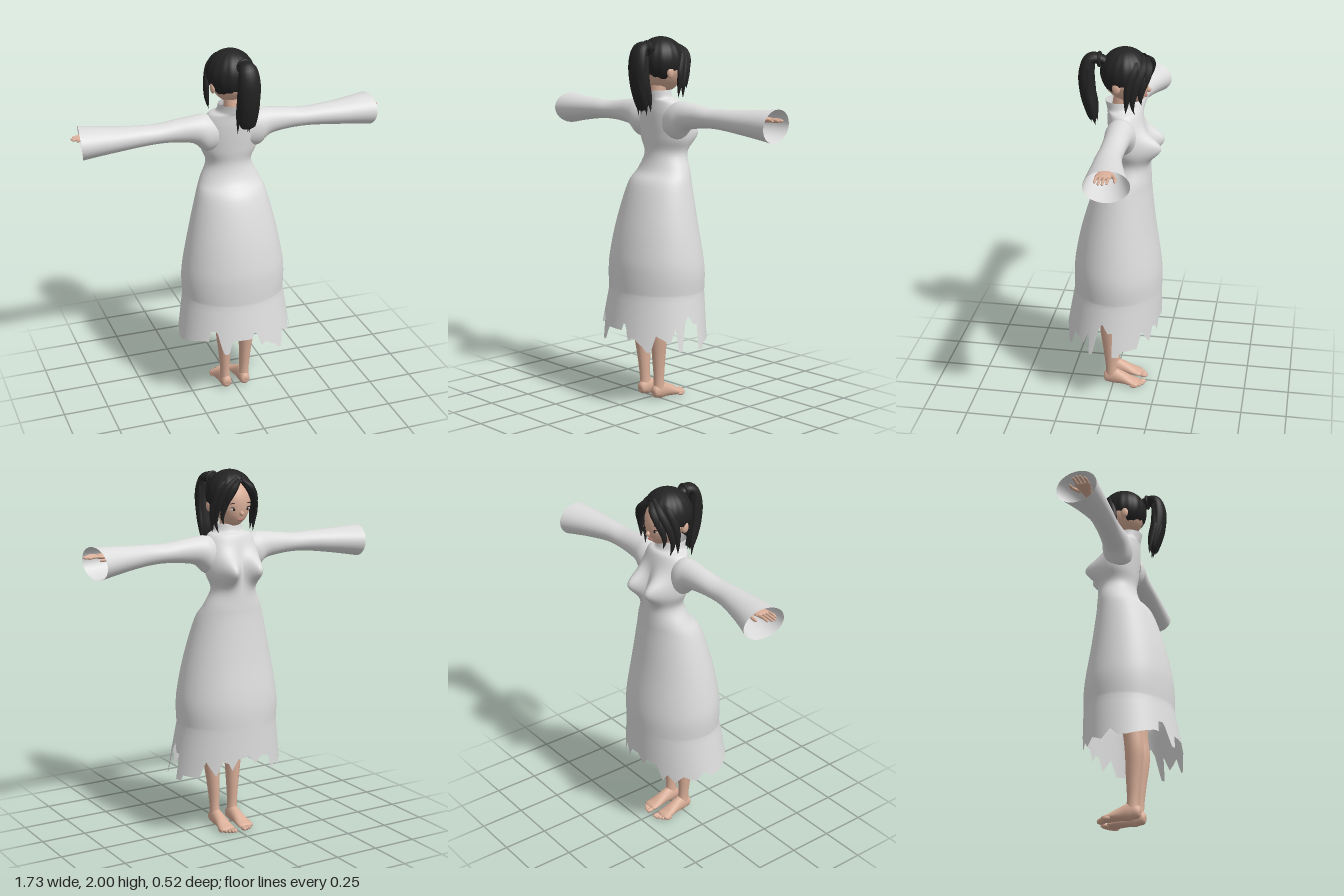
import * as THREE from 'three';

const mat = (name, color, side = THREE.FrontSide) =>
  Object.assign(new THREE.MeshStandardMaterial({ color, side }), { name });

// Smooth row of a key table at t in 0..1
function sample(keys, t) {
  const f = Math.min(Math.max(t, 0), 1) * (keys.length - 1);
  const i = Math.min(Math.floor(f), keys.length - 2), k = f - i;
  const at = n => keys[Math.min(Math.max(n, 0), keys.length - 1)];
  return at(i).map((p1, c) => {
    const p0 = at(i - 1)[c], p2 = at(i + 1)[c], p3 = at(i + 2)[c];
    return p1 + 0.5 * k * (p2 - p0 + k * (2 * p0 - 5 * p1 + 4 * p2 - p3 + k * (3 * (p1 - p2) + p3 - p0)));
  });
}

// Straight-line lookup in a list of [x, y]
function lookup(list, x) {
  const i = Math.max(1, list.findIndex(p => p[0] >= x));
  const [a, b] = [list[i - 1], list[i]];
  return a[1] + (b[1] - a[1]) * (x - a[0]) / (b[0] - a[0]);
}

// Closed tube-like surface from fn(angle, v)
function loft(nu, nv, fn) {
  const pos = [], idx = [];
  for (let j = 0; j <= nv; j++)
    for (let i = 0; i < nu; i++) pos.push(...fn(i / nu * Math.PI * 2, j / nv));
  for (let j = 0; j < nv; j++)
    for (let i = 0; i < nu; i++) {
      const a = j * nu + i, b = j * nu + (i + 1) % nu;
      idx.push(a, b, b + nu, a, b + nu, a + nu);
    }
  const g = new THREE.BufferGeometry();
  g.setAttribute('position', new THREE.Float32BufferAttribute(pos, 3));
  g.setIndex(idx);
  g.computeVertexNormals();
  return g;
}

// Tapered limb or lock; keys are [x, y, z, radiusA, radiusB]
function limb(keys, ref = [0, 0, 1], nu = 14, nv = 24) {
  const r = new THREE.Vector3(...ref);
  const point = t => new THREE.Vector3(...sample(keys, t).slice(0, 3));
  return loft(nu, nv, (u, v) => {
    const [, , , ra, rb] = sample(keys, v);
    const T = point(v + 0.01).sub(point(v - 0.01)).normalize();
    const A = r.clone().cross(T).normalize(), B = T.clone().cross(A);
    return point(v).addScaledVector(A, Math.cos(u) * Math.max(ra, 0))
      .addScaledVector(B, Math.sin(u) * Math.max(rb, 0)).toArray();
  });
}

export function createModel() {
  const cloth = mat('pale cloth', 0xdcdcdc, THREE.DoubleSide);
  const skin = mat('skin', 0xd9ae98);
  const hair = mat('black hair', 0x232323, THREE.DoubleSide);
  const dark = mat('eye dark', 0x2c211e);
  const white = mat('eye white', 0xd8d2cc);
  const lip = mat('lips', 0xb5776a);
  const model = new THREE.Group();
  const add = (name, geo, material) => {
    const m = new THREE.Mesh(geo, material);
    m.name = name;
    model.add(m);
    return m;
  };
  const ball = (name, m, p, s) => {
    const b = add(name, new THREE.SphereGeometry(1, 16, 10), m);
    b.position.set(...p);
    b.scale.set(...s);
    return b;
  };

  // Dress: rings [y, half width, back z, front z] with a torn hem [degrees, y]
  const rings = [[0.62, 0.285, 0.22, -0.265], [0.72, 0.29, 0.22, -0.265], [0.82, 0.28, 0.212, -0.255],
    [1.0, 0.245, 0.175, -0.228], [1.2, 0.195, 0.11, -0.205], [1.28, 0.163, 0.045, -0.2],
    [1.37, 0.125, 0.015, -0.195], [1.45, 0.153, 0.022, -0.185], [1.53, 0.16, 0.03, -0.17],
    [1.6, 0.15, 0.035, -0.155], [1.655, 0.125, 0.035, -0.135], [1.675, 0.085, 0.04, -0.11],
    [1.715, 0.075, 0.05, -0.1]];
  const hem = [[0, 0.43], [4, 0.43], [6, 0.47], [9, 0.46], [13, 0.38], [19, 0.4], [30, 0.36], [35, 0.33],
    [39, 0.33], [44, 0.42], [52, 0.4], [60, 0.38], [66, 0.46], [70, 0.33], [74, 0.34], [78, 0.48],
    [82, 0.52], [90, 0.47], [97, 0.47], [98, 0.33], [106, 0.33], [107, 0.36], [128, 0.36], [134, 0.45],
    [146, 0.37], [152, 0.45], [158, 0.44], [162, 0.4], [168, 0.46], [180, 0.47], [188, 0.42], [194, 0.46],
    [206, 0.45], [212, 0.36], [218, 0.4], [226, 0.36], [236, 0.4], [250, 0.37], [262, 0.42], [270, 0.38],
    [280, 0.38], [312, 0.42], [318, 0.42], [320, 0.48], [327, 0.48], [331, 0.41], [335, 0.35],
    [340, 0.36], [343, 0.43], [360, 0.43]];
  add('dress', loft(180, 66, (u, v) => {
    const t = v * 66;
    let [y, w, zb, zf] = sample(rings, (t - 6) / 60);
    if (t < 6) {
      const low = lookup(hem, u * 180 / Math.PI);
      y = low + (0.62 - low) * t / 6;
      w += (0.62 - y) * 0.15;
      zb += (0.62 - y) * 0.18;
    }
    const x = w * Math.sin(u);
    let z = (zb + zf) / 2 + (zb - zf) / 2 * Math.cos(u);
    // Bust
    const front = Math.max(0, -Math.cos(u));
    z -= 0.1 * Math.sqrt(front) * Math.exp(-(((Math.abs(x) - 0.083) / 0.055) ** 2) - ((y - 1.48) / 0.07) ** 2);
    return [x, y, z];
  }), cloth);

  // Sleeves: rings [x, top y, bottom y, back z, front z]
  const sleeve = [[0.09, 1.64, 1.46, 0.02, -0.12], [0.15, 1.658, 1.455, 0.028, -0.135],
    [0.21, 1.655, 1.505, 0.02, -0.125], [0.3, 1.645, 1.523, 0.012, -0.118], [0.4, 1.633, 1.53, 0.012, -0.115],
    [0.5, 1.635, 1.525, 0.015, -0.118], [0.62, 1.64, 1.51, 0.018, -0.145], [0.72, 1.647, 1.495, 0.02, -0.175],
    [0.81, 1.653, 1.48, 0.022, -0.205]];

  for (const s of [1, -1]) {
    add('sleeve', loft(36, 40, (u, v) => {
      const [x, yt, yb, zb, zf] = sample(sleeve, v), c = Math.cos(u), d = Math.sin(s * u);
      return [s * (x + v ** 4 * (0.008 * c + 0.017 * d)), (yt + yb) / 2 + (yt - yb) / 2 * c,
        (zb + zf) / 2 + (zb - zf) / 2 * d];
    }), cloth);

    // Forearm, palm and fingers
    add('hand', limb([[s * 0.45, 1.585, -0.055, 0, 0], [s * 0.46, 1.585, -0.055, 0.03, 0.03],
      [s * 0.6, 1.59, -0.06, 0.025, 0.027], [s * 0.68, 1.595, -0.065, 0.018, 0.023],
      [s * 0.74, 1.6, -0.07, 0.014, 0.038], [s * 0.785, 1.6, -0.07, 0.011, 0.038],
      [s * 0.79, 1.6, -0.07, 0, 0]]), skin);
    for (let i = 0; i < 4; i++) {
      const z = -0.1 + i * 0.02, tip = [0.85, 0.862, 0.86, 0.84][i];
      add('finger', limb([[s * 0.77, 1.6, z, 0.008, 0.008], [s * 0.81, 1.603, z, 0.0075, 0.0075],
        [s * (tip - 0.006), 1.598, z, 0.006, 0.006], [s * tip, 1.597, z, 0, 0]], [0, 0, 1], 8, 12), skin);
    }
    add('thumb', limb([[s * 0.72, 1.595, -0.1, 0.011, 0.011], [s * 0.76, 1.59, -0.125, 0.009, 0.009],
      [s * 0.795, 1.588, -0.13, 0.006, 0.006], [s * 0.8, 1.588, -0.13, 0, 0]], [0, 1, 0], 8, 12), skin);

    // Leg, foot and toes
    add('leg', limb([[s * 0.07, 0.95, -0.02, 0.08, 0.085], [s * 0.07, 0.7, -0.01, 0.068, 0.07],
      [s * 0.068, 0.5, 0.01, 0.05, 0.052], [s * 0.068, 0.38, 0.022, 0.046, 0.05],
      [s * 0.062, 0.24, 0.016, 0.034, 0.04], [s * 0.058, 0.12, 0.012, 0.027, 0.031],
      [s * 0.056, 0.05, 0.008, 0.03, 0.036]], [0, 0, 1], 18), skin);
    add('foot', limb([[s * 0.055, 0.035, 0.052, 0, 0], [s * 0.055, 0.037, 0.045, 0.024, 0.026],
      [s * 0.055, 0.052, 0.005, 0.032, 0.048], [s * 0.056, 0.043, -0.05, 0.035, 0.036],
      [s * 0.058, 0.026, -0.11, 0.043, 0.021], [s * 0.06, 0.02, -0.145, 0.041, 0.013],
      [s * 0.06, 0.018, -0.155, 0, 0]], [0, 1, 0], 18), skin);
    for (let i = 0; i < 5; i++)
      ball('toe', skin, [s * (0.03 + i * 0.0165), 0.016, -0.163 + i * i * 0.0025],
        [i ? 0.009 : 0.013, 0.012, 0.024]);

    // Ear, eye and brow
    ball('ear', skin, [s * 0.108, 1.81, -0.025], [0.014, 0.032, 0.022]);
    ball('eyeWhite', white, [s * 0.04, 1.8, -0.165], [0.019, 0.009, 0.005]);
    ball('iris', dark, [s * 0.04, 1.8, -0.168], [0.009, 0.0085, 0.004]);
    ball('eyelash', dark, [s * 0.041, 1.809, -0.166], [0.021, 0.003, 0.005]);
    ball('eyebrow', dark, [s * 0.042, 1.832, -0.168], [0.022, 0.003, 0.004]).rotation.z = s * -0.1;

    // Locks framing the face
    const locks = [
      [[0.01, 1.945, -0.165], [0.05, 1.9, -0.178], [0.085, 1.84, -0.165], [0.1, 1.77, -0.15], [0.095, 1.72, -0.155]],
      [[0.01, 1.96, -0.15], [0.07, 1.91, -0.155], [0.108, 1.83, -0.13], [0.118, 1.74, -0.11], [0.105, 1.67, -0.12]],
      [[0.03, 1.96, -0.12], [0.095, 1.91, -0.115], [0.121, 1.82, -0.09], [0.12, 1.74, -0.08], [0.115, 1.675, -0.075]],
      [[0.01, 1.95, -0.168], [0.045, 1.92, -0.184], [0.072, 1.88, -0.182], [0.088, 1.83, -0.172], [0.09, 1.79, -0.168]],
    ];
    for (const lock of locks)
      add('frontLock', limb(lock.map(([x, y, z], i) =>
        [s * x, y, z, [0.012, 0.018, 0.017, 0.011, 0][i], [0.012, 0.022, 0.022, 0.014, 0][i]]),
      [0, 0, 1], 8, 18), hair);
  }

  // Neck and head, tapered to the chin
  add('neck', limb([[0, 1.6, -0.03, 0.05, 0.045], [0, 1.68, -0.03, 0.043, 0.043],
    [0, 1.77, -0.045, 0.045, 0.045]]), skin);
  add('head', loft(32, 24, (u, v) => {
    const p = (v - 0.5) * Math.PI, low = Math.max(0, -Math.sin(p)), c = Math.cos(p);
    return [0.105 * c * Math.sin(u) * (1 - 0.3 * low * low), 1.83 + 0.125 * Math.sin(p),
      -0.06 + 0.12 * c * Math.cos(u) - 0.035 * low * low];
  }), skin);
  ball('nose', skin, [0, 1.777, -0.179], [0.011, 0.014, 0.014]);
  ball('mouth', lip, [0, 1.745, -0.167], [0.02, 0.006, 0.007]);

  // Hair cap with a parted opening over the face [degrees from the face, lower y]
  const edge = [[0, 1.945], [35, 1.88], [55, 1.83], [70, 1.83], [95, 1.82], [115, 1.775], [180, 1.755]];
  add('hairCap', loft(96, 20, (u, v) => {
    const low = Math.asin((lookup(edge, Math.abs(180 - u * 180 / Math.PI)) - 1.87) / 0.13);
    const p = low + (Math.PI / 2 - low) * v, c = Math.cos(p);
    const r = 1 + 0.012 * Math.sin(u * 16) * c;
    return [0.128 * r * c * Math.sin(u), 1.87 + 0.13 * Math.sin(p), -0.055 + 0.13 * r * c * Math.cos(u)];
  }), hair);

  // Ponytail with a tie and loose tips
  add('ponytail', limb([[0.025, 1.92, 0.03, 0.02, 0.03], [0.03, 1.945, 0.075, 0.026, 0.035],
    [0.033, 1.935, 0.125, 0.034, 0.05], [0.035, 1.86, 0.143, 0.042, 0.06], [0.035, 1.76, 0.136, 0.042, 0.058],
    [0.036, 1.67, 0.12, 0.032, 0.05], [0.036, 1.62, 0.115, 0.015, 0.035], [0.036, 1.61, 0.114, 0, 0]],
  [1, 0, 0], 20, 36), hair);
  for (let i = 0; i < 7; i++) {
    const x = -0.012 + i * 0.016, z = 0.115 + 0.012 * (i % 2 ? 1 : -1);
    add('ponytailTip', limb([[x, 1.9, z + 0.02, 0.012, 0.008], [x, 1.78, z + 0.025, 0.022, 0.014],
      [x, 1.68, z + 0.004, 0.018, 0.012], [x, 1.58 + 0.012 * (i * 3 % 4), z - 0.008, 0, 0]],
    [1, 0, 0], 8, 16), hair);
  }
  const tie = add('hairTie', new THREE.TorusGeometry(0.032, 0.01, 8, 20), hair);
  tie.position.set(0.03, 1.94, 0.075);
  return model;
}
